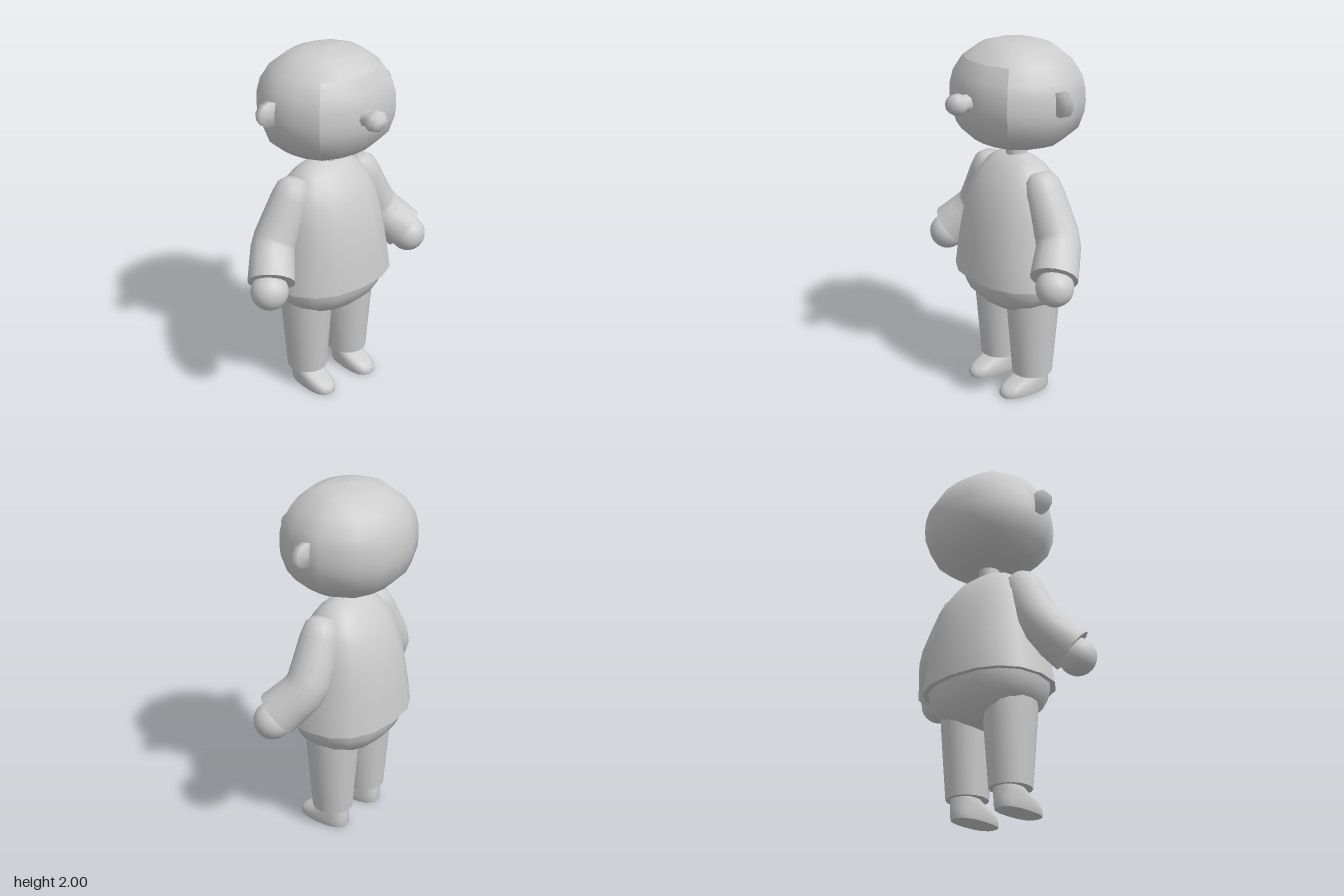
import * as THREE from 'three';

const V = (x, y, z) => new THREE.Vector3(x, y, z);
const CZ = -0.057; // depth of the body axis

function addMesh(parent, name, geometry) {
  const material = new THREE.MeshStandardMaterial({ color: 0xcccccc });
  const mesh = new THREE.Mesh(geometry, material);
  mesh.name = name;
  parent.add(mesh);
  return mesh;
}

// Horizontal ring, starting at the front and turning towards +x;
// a power below 1 makes the ellipse squarer
function ring(x, y, z, rx, rz, power = 1) {
  const shaped = (v) => Math.sign(v) * Math.abs(v) ** power;
  return Array.from({ length: 16 }, (_, i) => {
    const t = (i / 16) * Math.PI * 2;
    return V(x + rx * shaped(Math.sin(t)), y, z + rz * shaped(Math.cos(t)));
  });
}

// Skin over rings given from top to bottom; a repeated ring makes a sharp edge
function loft(rings, keep = () => true) {
  const n = rings[0].length;
  const index = [];
  for (let i = 0; i < rings.length - 1; i++) {
    for (let j = 0; j < n; j++) {
      if (!keep(i, j)) continue;
      const k = (j + 1) % n;
      const a = i * n + j, b = a + n, c = (i + 1) * n + k, d = i * n + k;
      index.push(a, b, c, a, c, d);
    }
  }
  const geometry = new THREE.BufferGeometry().setFromPoints(rings.flat());
  geometry.setIndex(index);
  geometry.computeVertexNormals();
  return geometry;
}

// Close the last ring with a flat, sharp-edged cap
function capped(rings) {
  const last = rings[rings.length - 1];
  const centre = last.reduce((s, p) => s.add(p), V(0, 0, 0)).divideScalar(last.length);
  return [...rings, last, last.map((p) => p.clone().lerp(centre, 0.999))];
}

// Rings square to a path that runs downwards
function pathRings(points, radii) {
  return points.map((p, i) => {
    const before = points[Math.max(i - 1, 0)];
    const after = points[Math.min(i + 1, points.length - 1)];
    const T = after.clone().sub(before).normalize();
    const F = V(0, 0, 1).addScaledVector(T, -T.z).normalize();
    const S = F.clone().cross(T);
    return Array.from({ length: 16 }, (_, j) => {
      const t = (j / 16) * Math.PI * 2;
      return p.clone().addScaledVector(S, radii[i] * Math.sin(t)).addScaledVector(F, radii[i] * Math.cos(t));
    });
  });
}

// Smooth turned shape about the z axis from [radius, z] pairs
function turned(profile, sides) {
  const points = profile.map(([r, z]) => new THREE.Vector2(r, z));
  return new THREE.LatheGeometry(points, sides).rotateX(Math.PI / 2);
}

function buildHead(parent) {
  const head = new THREE.Group();
  head.name = 'head';
  parent.add(head);

  // Half outline seen from above, mirrored, then scaled at each height
  const half = [[0, 0.27], [0.13, 0.257], [0.265, 0.2], [0.34, 0.08], [0.365, -0.04],
    [0.365, -0.135], [0.27, -0.31], [0.13, -0.367], [0, -0.383]];
  const outline = [...half, ...half.slice(1, -1).reverse().map(([x, z]) => [-x, z])];
  const levels = [[2, 0.002], [1.99, 0.33], [1.968, 0.55], [1.9, 0.8], [1.82, 0.94], [1.75, 0.99],
    [1.68, 1], [1.62, 0.985], [1.53, 0.9], [1.46, 0.68], [1.425, 0.35], [1.415, 0.002]];
  const rings = levels.map(([y, s]) => outline.map(([x, z]) => V(x * s, y, CZ + (z - CZ) * s)));
  const isFace = (i, j) => i >= 3 && i <= 9 && (j < 2 || j > 13);
  addMesh(head, 'skull', loft(rings, (i, j) => !isFace(i, j)));
  addMesh(head, 'face', loft(rings, isFace));

  // Nose: a faceted knob on a broad stem
  const nose = turned([[0.062, 0.24], [0.051, 0.283], [0.069, 0.322], [0.062, 0.347], [0.042, 0.374], [0, 0.38]], 8);
  addMesh(head, 'nose', nose.scale(1, 0.87, 1).translate(0, 1.697, 0));

  // Ears: thin upright discs
  for (const s of [1, -1]) {
    const ear = turned([[0, -0.021], [0.067, -0.021], [0.067, 0.021], [0, 0.021]], 10);
    addMesh(head, s > 0 ? 'leftEar' : 'rightEar', ear.translate(s * 0.387, 1.72, CZ));
  }
}

function buildBody(parent) {
  const neck = new THREE.CylinderGeometry(0.059, 0.059, 0.1, 14);
  addMesh(parent, 'neck', neck.translate(0, 1.4, CZ));

  // Bell-shaped shirt: height, half width, half depth
  const shirt = [[1.385, 0.001, 0.001], [1.375, 0.1, 0.05], [1.35, 0.16, 0.09], [1.32, 0.2, 0.125],
    [1.26, 0.25, 0.17], [1.18, 0.288, 0.217], [1.06, 0.314, 0.254], [0.94, 0.333, 0.278],
    [0.82, 0.353, 0.294], [0.69, 0.374, 0.305]];
  addMesh(parent, 'shirt', loft(capped(shirt.map(([y, rx, rz]) => ring(0, y, CZ, rx, rz, 0.86)))));

  // Rounded seat of the trousers
  const hips = [[0.72, 0.35, 0.275], [0.68, 0.347, 0.272], [0.63, 0.333, 0.26], [0.58, 0.303, 0.237],
    [0.53, 0.235, 0.19], [0.49, 0.145, 0.125], [0.468, 0.06, 0.055], [0.462, 0.001, 0.001]];
  addMesh(parent, 'hips', loft(hips.map(([y, rx, rz]) => ring(0, y, CZ, rx, rz, 0.86))));
}

function buildArm(parent, s) {
  const arm = new THREE.Group();
  arm.name = s > 0 ? 'leftArm' : 'rightArm';
  parent.add(arm);

  // Sleeve bends forward at the elbow
  const path = [[0.222, 1.318, -0.05], [0.224, 1.312, -0.05], [0.232, 1.278, -0.05], [0.254, 1.21, -0.052],
    [0.31, 1.09, -0.057], [0.358, 1.0, -0.059], [0.389, 0.95, -0.046], [0.425, 0.901, -0.009],
    [0.485, 0.823, 0.057]];
  const radii = [0.001, 0.056, 0.09, 0.107, 0.116, 0.12, 0.121, 0.123, 0.128];
  const points = path.map(([x, y, z]) => V(s * x, y, z));
  addMesh(arm, 'sleeve', loft(capped(pathRings(points, radii))));

  const hand = new THREE.SphereGeometry(0.102, 20, 14);
  addMesh(arm, 'hand', hand.translate(s * 0.51, 0.785, 0.072));
}

function buildLeg(parent, s) {
  const leg = new THREE.Group();
  leg.name = s > 0 ? 'leftLeg' : 'rightLeg';
  parent.add(leg);

  // Tapered trouser leg, running up into the hips
  const x = s * 0.153;
  const trouser = [[0.61, 0.148, 0.156], [0.48, 0.139, 0.147], [0.115, 0.112, 0.117]];
  addMesh(leg, 'trouserLeg', loft(capped(trouser.map(([y, rx, rz]) => ring(x, y, CZ, rx, rz)))));

  // Shoe: height, half width, back and front of each slice
  const shoe = [[0.14, 0.072, -0.14, -0.005], [0.115, 0.075, -0.147, 0.005], [0.095, 0.078, -0.15, 0.045],
    [0.075, 0.08, -0.153, 0.09], [0.055, 0.081, -0.155, 0.132], [0.035, 0.081, -0.156, 0.153],
    [0.015, 0.079, -0.155, 0.158], [0, 0.075, -0.152, 0.155]];
  const slices = shoe.map(([y, rx, back, front]) => ring(x, y, (back + front) / 2, rx, (front - back) / 2, 0.8));
  addMesh(leg, 'shoe', loft(capped(slices)));
}

export function createModel() {
  const model = new THREE.Group();
  model.name = 'figure';
  buildHead(model);
  buildBody(model);
  for (const s of [1, -1]) {
    buildArm(model, s);
    buildLeg(model, s);
  }
  return model;
}
